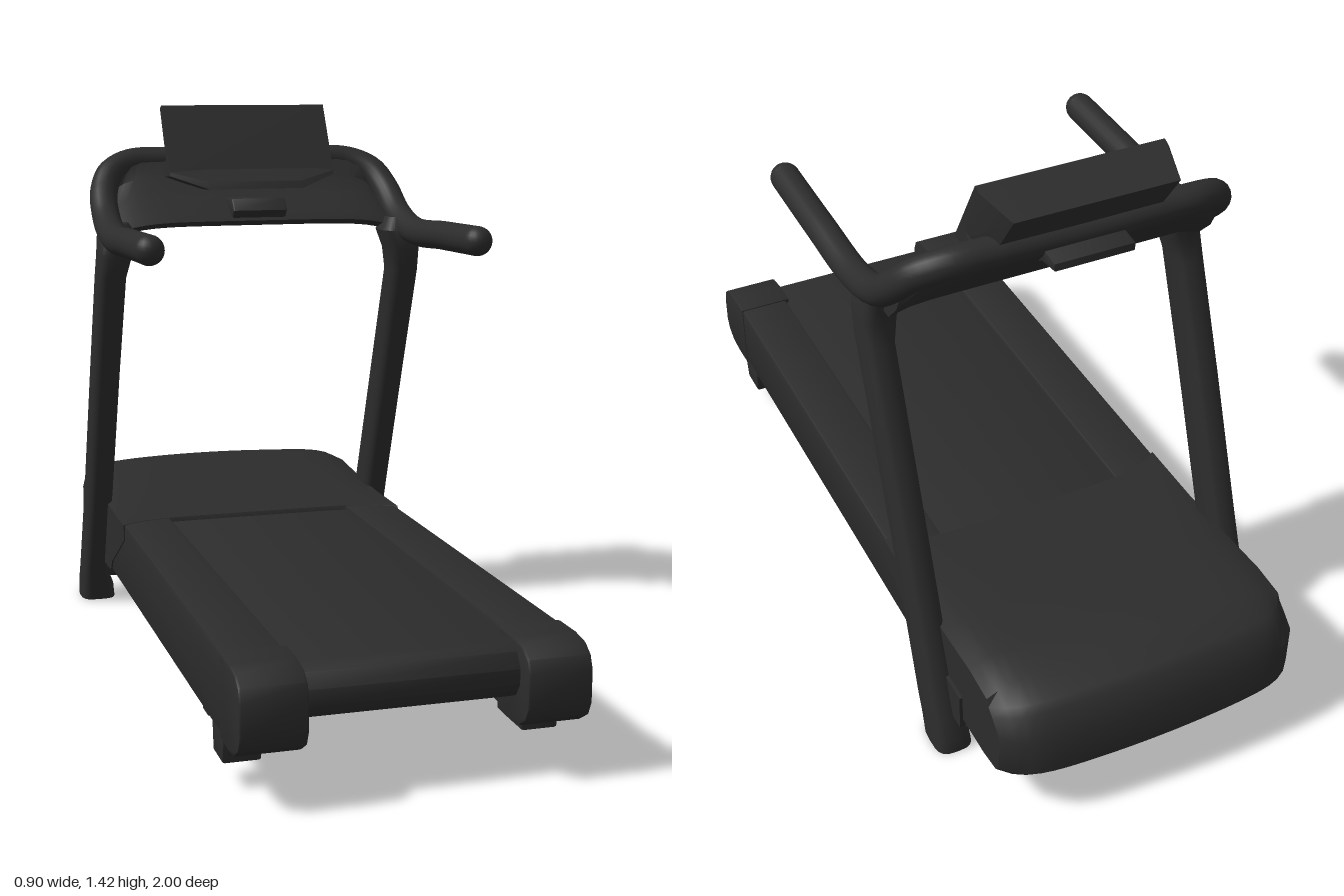
import * as THREE from 'three';
import { toCreasedNormals } from 'three/addons/utils/BufferGeometryUtils.js';

export function createModel() {
  const model = new THREE.Group();
  model.name = 'treadmill';
  const black = new THREE.MeshStandardMaterial({ color: 0x2c2c2c });
  black.name = 'matte black';

  function add(name, geometry, x = 0, y = 0, z = 0) {
    const mesh = new THREE.Mesh(geometry, black);
    mesh.name = name;
    mesh.position.set(x, y, z);
    model.add(mesh);
    return mesh;
  }
  const box = (name, w, h, d, x, y, z) => add(name, new THREE.BoxGeometry(w, h, d), x, y, z);

  // Side profile of [z, y] points, extruded from x0 to x1
  function slab(name, profile, x0, x1, bevel = 0.006) {
    const lo = Math.min(x0, x1), hi = Math.max(x0, x1);
    const shape = new THREE.Shape(profile.map(([z, y]) => new THREE.Vector2(-z, y)));
    const g = new THREE.ExtrudeGeometry(shape, {
      depth: hi - lo - 2 * bevel, bevelEnabled: true, bevelSize: bevel,
      bevelOffset: -bevel, bevelThickness: bevel, bevelSegments: 2
    });
    g.translate(0, 0, lo + bevel);
    g.rotateY(Math.PI / 2);
    return add(name, toCreasedNormals(g, 0.6));
  }

  // Skin over closed rings of [x, y, z], with capped ends; faces turned outwards
  function loft(rings, crease = 0.6) {
    const n = rings[0].length, pos = rings.flat(2), idx = [];
    for (let r = 0; r + 1 < rings.length; r++) {
      for (let i = 0; i < n; i++) {
        const a = r * n + i, b = r * n + (i + 1) % n;
        idx.push(a, b, b + n, a, b + n, a + n);
      }
    }
    for (const r of [0, rings.length - 1]) {
      const c = pos.length / 3;
      for (let k = 0; k < 3; k++) pos.push(rings[r].reduce((s, p) => s + p[k], 0) / n);
      for (let i = 0; i < n; i++) {
        const a = r * n + i, b = r * n + (i + 1) % n;
        if (r === 0) idx.push(c, b, a); else idx.push(c, a, b);
      }
    }
    const v = (i) => new THREE.Vector3(pos[3 * i], pos[3 * i + 1], pos[3 * i + 2]);
    let volume = 0;
    for (let i = 0; i < idx.length; i += 3) volume += v(idx[i]).dot(v(idx[i + 1]).cross(v(idx[i + 2])));
    if (volume < 0) idx.reverse();
    const g = new THREE.BufferGeometry();
    g.setAttribute('position', new THREE.Float32BufferAttribute(pos, 3));
    g.setIndex(idx);
    return toCreasedNormals(g, crease);
  }
  // Rings across x from a rule giving a [z, y] profile for each x
  const acrossX = (half, steps, rule) => Array.from({ length: steps + 1 }, (_, i) => {
    const x = -half + 2 * half * i / steps;
    return rule(x).map(([z, y]) => [x, y, z]);
  });

  // Running belt and underside
  slab('runningBelt', [[-0.6, 0.3], [0.9, 0.3], [0.935, 0.288], [0.955, 0.255], [0.955, 0.22],
    [0.935, 0.19], [0.9, 0.175], [-0.6, 0.165]], -0.26, 0.26, 0.002);
  box('underPan', 0.53, 0.02, 1.06, 0, 0.155, 0.06);
  box('underCrossbar', 0.56, 0.045, 0.05, 0, 0.122, 0.61);
  box('underTab', 0.12, 0.05, 0.014, 0, 0.125, -0.085);

  // Motor hood, bowed at the front end of the machine
  const hood = acrossX(0.392, 28, (x) => {
    const s = Math.abs(x) / 0.392;
    const f = -0.3 + 0.05 * s ** 6;
    const inset = 0.025 * s ** 2 + 0.05 * s ** 10;
    const drop = 0.012 * s ** 2 + 0.022 * s ** 10;
    const belly = 0.05 * s ** 10;
    return [
      [f, 0.298], [f - 0.006, 0.311], [-0.45, 0.322 - drop * 0.3], [-0.62, 0.346 - drop * 0.7],
      [-0.77, 0.368 - drop], [-0.86, 0.362 - drop], [-0.945 + inset, 0.345 - drop],
      [-0.965 + inset, 0.33 - drop], [-1 + inset, 0.265], [-1 + inset, 0.16],
      [-0.985 + inset, 0.142], [-0.92 + inset, 0.115 + belly * 0.3], [-0.62, 0.073 + belly],
      [-0.46, 0.105 + belly * 0.5], [-0.44, 0.16], [f, 0.27]
    ];
  });
  add('motorHood', loft(hood));

  const rail = [[-0.85, 0.31], [0.9, 0.31], [0.955, 0.304], [0.985, 0.285], [1, 0.255],
    [1, 0.185], [0.985, 0.155], [0.95, 0.133], [0.9, 0.127], [-0.85, 0.13]];
  const cap = [[0.83, 0.313], [0.91, 0.313], [0.96, 0.305], [0.988, 0.285], [1, 0.255],
    [1, 0.18], [0.985, 0.148], [0.95, 0.126], [0.9, 0.12], [0.83, 0.122]];

  for (const s of [1, -1]) {
    const side = s > 0 ? 'left' : 'right';

    // Foot rail, rounded end cap and levelling feet
    slab(side + 'FootRail', rail.map(([z, y]) => [Math.min(z, 0.97), y]), s * 0.252, s * 0.388);
    slab(side + 'EndCap', cap, s * 0.242, s * 0.392);
    slab(side + 'RearFoot', [[0.85, 0.14], [0.835, 0.065], [0.755, 0.065], [0.745, 0.14]], s * 0.3, s * 0.388);
    box(side + 'RailPad', 0.06, 0.04, 0.05, s * 0.34, 0.117, 0.61);

    // Leaning upright with a flared foot: [y, inner x, outer x, rear z, front z]
    const stations = [
      [0.003, 0.352, 0.449, -0.6, -0.72], [0.045, 0.357, 0.449, -0.587, -0.718],
      [0.1, 0.378, 0.448, -0.566, -0.692], [0.35, 0.374, 0.446, -0.474, -0.596],
      [0.7, 0.372, 0.446, -0.347, -0.463], [0.98, 0.369, 0.446, -0.243, -0.352],
      [1.04, 0.355, 0.444, -0.225, -0.335], [1.09, 0.338, 0.44, -0.225, -0.345],
      [1.125, 0.36, 0.43, -0.25, -0.35]
    ];
    const upright = stations.map(([y, xi, xo, zr, zf]) => Array.from({ length: 20 }, (_, i) => {
      const a = i / 20 * Math.PI * 2, c = Math.cos(a), d = Math.sin(a);
      const px = Math.sign(c) * Math.abs(c) ** 0.6, pz = Math.sign(d) * Math.abs(d) ** 0.6;
      return [s * ((xi + xo) / 2 + px * (xo - xi) / 2), y, (zr + zf) / 2 + pz * (zr - zf) / 2];
    }));
    add(side + 'Upright', loft(upright, 0.8));

    // Transport wheel and its bracket beside the foot
    const wheel = new THREE.CylinderGeometry(0.035, 0.035, 0.04, 20);
    wheel.rotateZ(Math.PI / 2);
    add(side + 'TransportWheel', wheel, s * 0.35, 0.085, -0.68);
    box(side + 'FootBracket', 0.05, 0.1, 0.1, s * 0.375, 0.15, -0.68);

    // Rounded grip end
    const grip = new THREE.SphereGeometry(0.037, 20, 14);
    add(side + 'GripEnd', grip, s * 0.412, 1.104, 0.25);
  }

  // One continuous handlebar sweeping up and across behind the console
  const half = [[0.412, 1.104, 0.25], [0.412, 1.098, 0.02], [0.41, 1.093, -0.2], [0.408, 1.13, -0.33],
    [0.4, 1.195, -0.415], [0.372, 1.245, -0.462], [0.31, 1.272, -0.492], [0.2, 1.275, -0.498]];
  const path = [...half, [0, 1.272, -0.498], ...half.slice().reverse().map(([x, y, z]) => [-x, y, z])];
  const curve = new THREE.CatmullRomCurve3(path.map((p) => new THREE.Vector3(...p)));
  add('handlebar', new THREE.TubeGeometry(curve, 140, 0.037, 18));

  // Dished console panel between the uprights
  const panel = acrossX(0.4, 28, (x) => {
    const s = Math.abs(x) / 0.4;
    const d = 0.095 * s ** 8, low = 0.03 * s ** 6;
    return [
      [-0.285, 1.122 - low], [-0.3, 1.14 - low], [-0.385, 1.185 - d * 0.4], [-0.44, 1.235 - d * 0.7],
      [-0.475 + d, 1.3 - d], [-0.51 + d, 1.302 - d], [-0.53 + d, 1.262 - d],
      [-0.475 + d * 0.6, 1.178 - d * 0.5], [-0.37, 1.11 - low], [-0.31, 1.108 - low]
    ];
  });
  add('consolePanel', loft(panel, 0.7));

  // Wedge-shaped display with a thin screen rim
  const rim = [[-0.36, 1.25], [-0.46, 1.426], [-0.478, 1.418], [-0.385, 1.245]];
  const body = [[-0.36, 1.25], [-0.46, 1.426], [-0.583, 1.395], [-0.475, 1.24]];
  const at = (x, p) => p.map(([z, y]) => [x, y, z]);
  add('display', loft([at(-0.23, rim), at(-0.2, body), at(0.2, body), at(0.23, rim)], 0.3));

  // Tray below the display, narrowing towards its lip
  const tray = [[-0.315, 1.205], [-0.325, 1.225], [-0.4, 1.285], [-0.45, 1.26], [-0.42, 1.2]];
  const traySide = [[-0.355, 1.24], [-0.36, 1.25], [-0.4, 1.285], [-0.45, 1.26], [-0.42, 1.235]];
  add('displayTray', loft([at(-0.23, traySide), at(-0.13, tray), at(0.13, tray), at(0.23, traySide)], 0.3));

  // Safety key holder, and the bracket behind the console
  slab('safetyKeyHolder', [[-0.275, 1.15], [-0.3, 1.18], [-0.36, 1.18], [-0.34, 1.13], [-0.29, 1.13]], -0.075, 0.075);
  slab('rearBracket', [[-0.45, 1.28], [-0.58, 1.262], [-0.58, 1.243], [-0.52, 1.235], [-0.42, 1.15],
    [-0.38, 1.13]], -0.1, 0.1, 0.004);

  return model;
}
